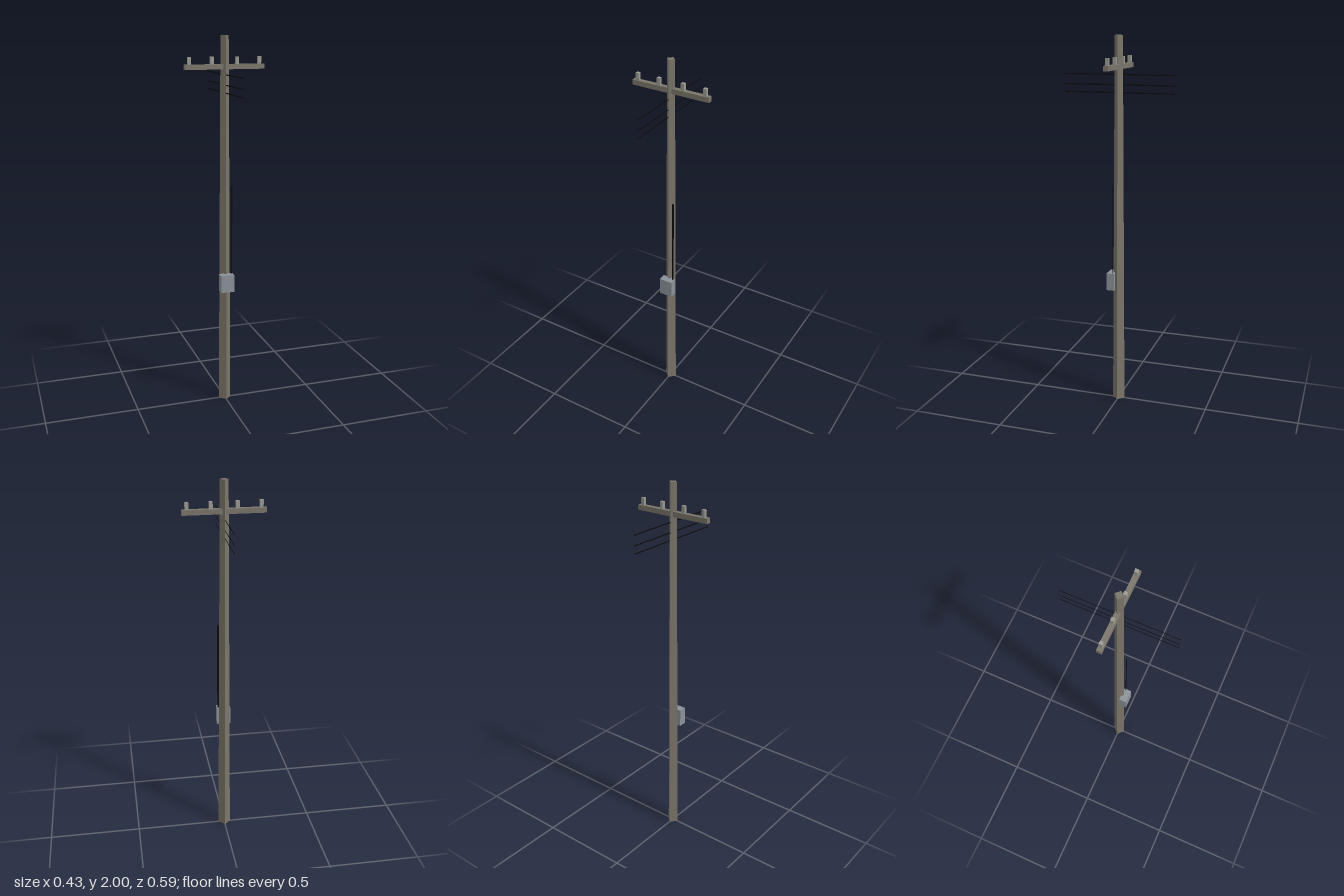
import * as THREE from 'three';

const material = (color, extra = {}) =>
  new THREE.MeshStandardMaterial({ color, flatShading: true, ...extra });

export function createModel() {
  const group = new THREE.Group();
  const wood = material(0x7b766a);
  const glass = material(0x9a9a92);
  const metal = material(0x8a9299);
  const black = material(0x0a0a0a, { side: THREE.DoubleSide });

  const add = (name, geometry, mat, x, y, z) => {
    const mesh = new THREE.Mesh(geometry, mat);
    mesh.name = name;
    mesh.position.set(x, y, z);
    group.add(mesh);
    return mesh;
  };

  // Tapered square pole, turned so an edge faces the front
  add('pole', new THREE.CylinderGeometry(0.022, 0.034, 2, 4), wood, 0, 1, 0);

  // Crossarm with four insulators
  add('crossarm', new THREE.BoxGeometry(0.426, 0.026, 0.026), wood, 0, 1.843, -0.001);
  for (const x of [-0.187, -0.067, 0.067, 0.187]) {
    add('insulator', new THREE.BoxGeometry(0.018, 0.038, 0.017), glass, x, 1.874, -0.001);
  }

  // Flat upright strips for the overhead wires, running front to back
  for (const y of [1.803, 1.751, 1.711]) {
    const wire = add('overheadWire', new THREE.PlaneGeometry(0.59, 0.006), black, 0, y, 0);
    wire.rotation.y = Math.PI / 2;
  }

  // Service box and the cable rising from it
  add('serviceBox', new THREE.BoxGeometry(0.074, 0.096, 0.042), metal, 0, 0.694, 0.037);
  add('serviceCable', new THREE.PlaneGeometry(0.01, 0.585), black, 0.029, 0.9375, 0.028);

  return group;
}
